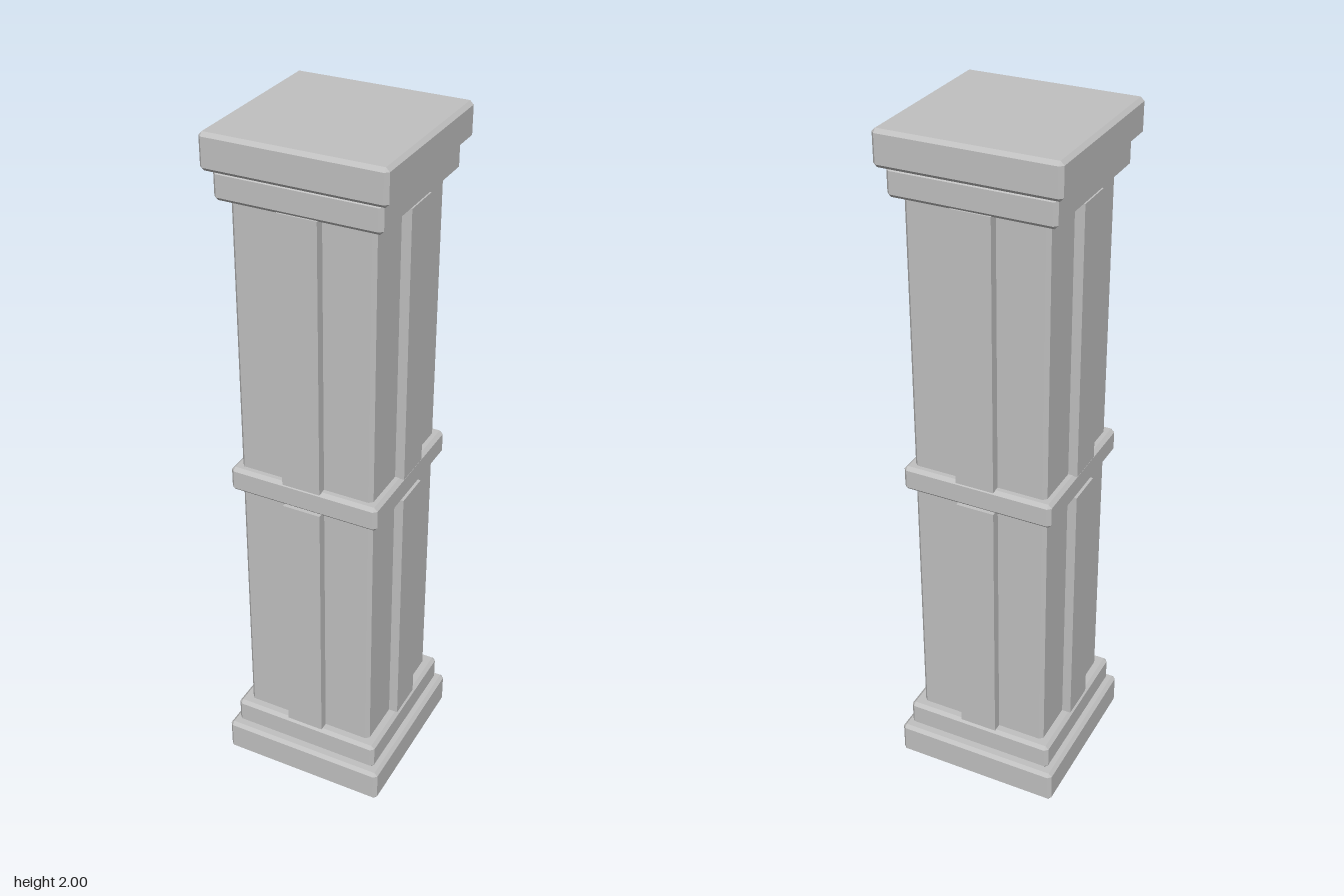
import * as THREE from 'three';
import { ConvexGeometry } from 'three/addons/geometries/ConvexGeometry.js';

// Square block from y0 to y1 with every edge chamfered by c
function chamferedBlock(half, y0, y1, c = 0.01) {
  const h = [half, (y1 - y0) / 2, half];
  const points = [];
  for (const sx of [-1, 1]) for (const sy of [-1, 1]) for (const sz of [-1, 1]) {
    for (let axis = 0; axis < 3; axis++) {
      const [x, y, z] = h.map((v, i) => (i === axis ? v : v - c));
      points.push(new THREE.Vector3(sx * x, sy * y, sz * z));
    }
  }
  const geometry = new ConvexGeometry(points);
  geometry.translate(0, (y0 + y1) / 2, 0);
  return geometry;
}

export function createModel() {
  const group = new THREE.Group();
  group.name = 'column';
  const stone = new THREE.MeshStandardMaterial({ color: 0xc0c0c0 });
  stone.name = 'grey stone';

  const add = (name, geometry) => {
    const mesh = new THREE.Mesh(geometry, stone);
    mesh.name = name;
    group.add(mesh);
    return mesh;
  };

  // Stacked square blocks: name, half width, bottom, top
  const blocks = [
    ['base', 0.25, 0, 0.103],
    ['baseStep', 0.228, 0.103, 0.185],
    ['shaft', 0.198, 0.175, 1.835],
    ['middleBand', 0.221, 0.966, 1.04],
    ['capitalStep', 0.228, 1.822, 1.902],
    ['capital', 0.25, 1.902, 2],
  ];
  for (const [name, half, y0, y1] of blocks) add(name, chamferedBlock(half, y0, y1));

  // Raised strip on each face, broken by the middle band
  const inner = 0.19, outer = 0.225;
  for (const [name, y0, y1] of [['lowerStrip', 0.185, 0.968], ['upperStrip', 1.038, 1.824]]) {
    const geometry = new THREE.BoxGeometry(0.112, y1 - y0, outer - inner);
    geometry.translate(0, (y0 + y1) / 2, (inner + outer) / 2);
    for (let i = 0; i < 4; i++) add(name, geometry).rotation.y = (i * Math.PI) / 2;
  }

  return group;
}
